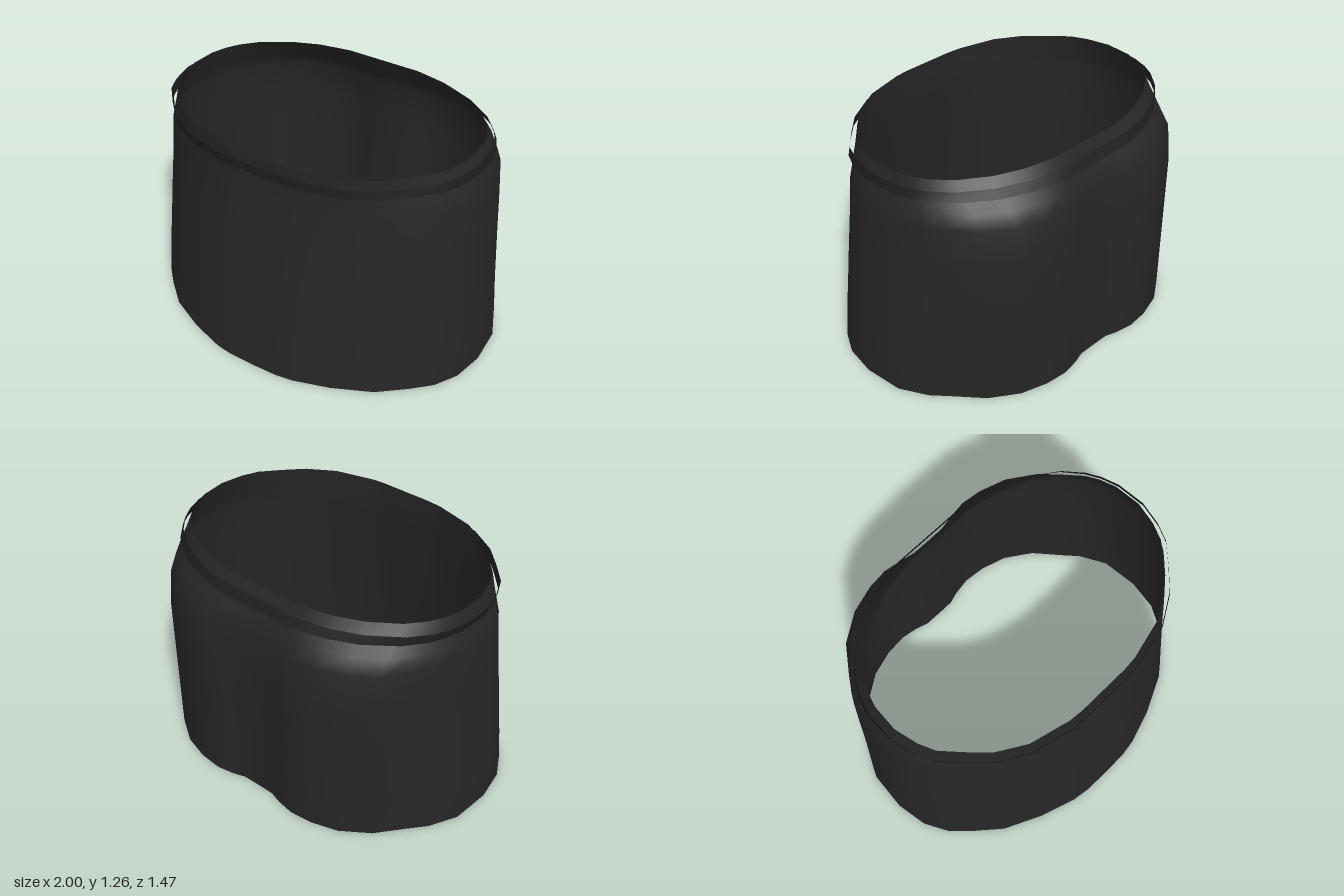
import * as THREE from 'three';

// Half outlines [x, z], from centre front round the left side to centre back
const HEM = [[0, .733], [.15, .73], [.25, .715], [.45, .65], [.66, .55], [.8, .43], [.9, .33], [.97, .2], [1, .02],
  [.98, -.2], [.9, -.35], [.82, -.44], [.7, -.58], [.55, -.68], [.4, -.725], [.27, -.737], [.17, -.72], [.1, -.698], [0, -.697]];
const WAIST = [[0, .592], [.15, .592], [.23, .585], [.45, .53], [.6, .44], [.7, .34], [.79, .24], [.83, .15], [.86, .02],
  [.85, -.13], [.82, -.22], [.78, -.29], [.7, -.38], [.55, -.48], [.4, -.54], [.3, -.56], [.22, -.575], [.1, -.575], [0, -.575]];

// Height, then how far the sides, front and back still follow the hem outline
const ROWS = [[0, 1, 1, 1], [.2, .93, .82, 1], [.4, .82, .63, 1], [.6, .72, .44, 1], [.85, .57, .22, 1],
  [1.05, .5, .05, .875], [1.12, .34, .02, .6], [1.18, .19, 0, .34], [1.265, 0, 0, 0]];

const mirrored = half => [...half, ...half.slice(1, -1).reverse().map(([x, z]) => [-x, z])];

// Joins closed rings of [x, y, z] points, bottom to top, into a smooth open tube
function loft(rings) {
  const n = rings[0].length, index = [];
  for (let j = 0; j < rings.length - 1; j++) {
    for (let i = 0; i < n; i++) {
      const a = j * n + i, b = j * n + (i + 1) % n;
      index.push(a, b, b + n, a, b + n, a + n);
    }
  }
  const geometry = new THREE.BufferGeometry();
  geometry.setAttribute('position', new THREE.Float32BufferAttribute(rings.flat(2), 3));
  geometry.setIndex(index);
  geometry.computeVertexNormals();
  return geometry;
}

export function createModel() {
  const fabric = new THREE.MeshStandardMaterial({ color: 0x262626, side: THREE.DoubleSide });
  fabric.name = 'black fabric';
  const trim = new THREE.MeshStandardMaterial({ color: 0x1e1e1e, side: THREE.DoubleSide });
  trim.name = 'dark trim';
  const group = new THREE.Group();
  group.name = 'skirt';
  const add = (name, geometry, material) => {
    const mesh = new THREE.Mesh(geometry, material);
    mesh.name = name;
    group.add(mesh);
  };

  // Skirt body, blended from hem to waist
  const hem = mirrored(HEM), waist = mirrored(WAIST);
  add('skirtBody', loft(ROWS.map(([y, side, front, back]) => waist.map(([x, z], i) => [
    THREE.MathUtils.lerp(x, hem[i][0], side), y,
    THREE.MathUtils.lerp(z, hem[i][1], z > 0 ? front : back),
  ]))), fabric);

  // Loose band round the waist, slightly tilted
  const bandRing = (y, shift, back) => waist.map(([x, z]) =>
    [x * 1.05 + shift, y, z * (z > 0 ? .62 / .592 : back / .575)]);
  add('waistBand', loft([bandRing(1.177, .006, .652), bandRing(1.225, -.006, .625)]), trim);
  return group;
}
